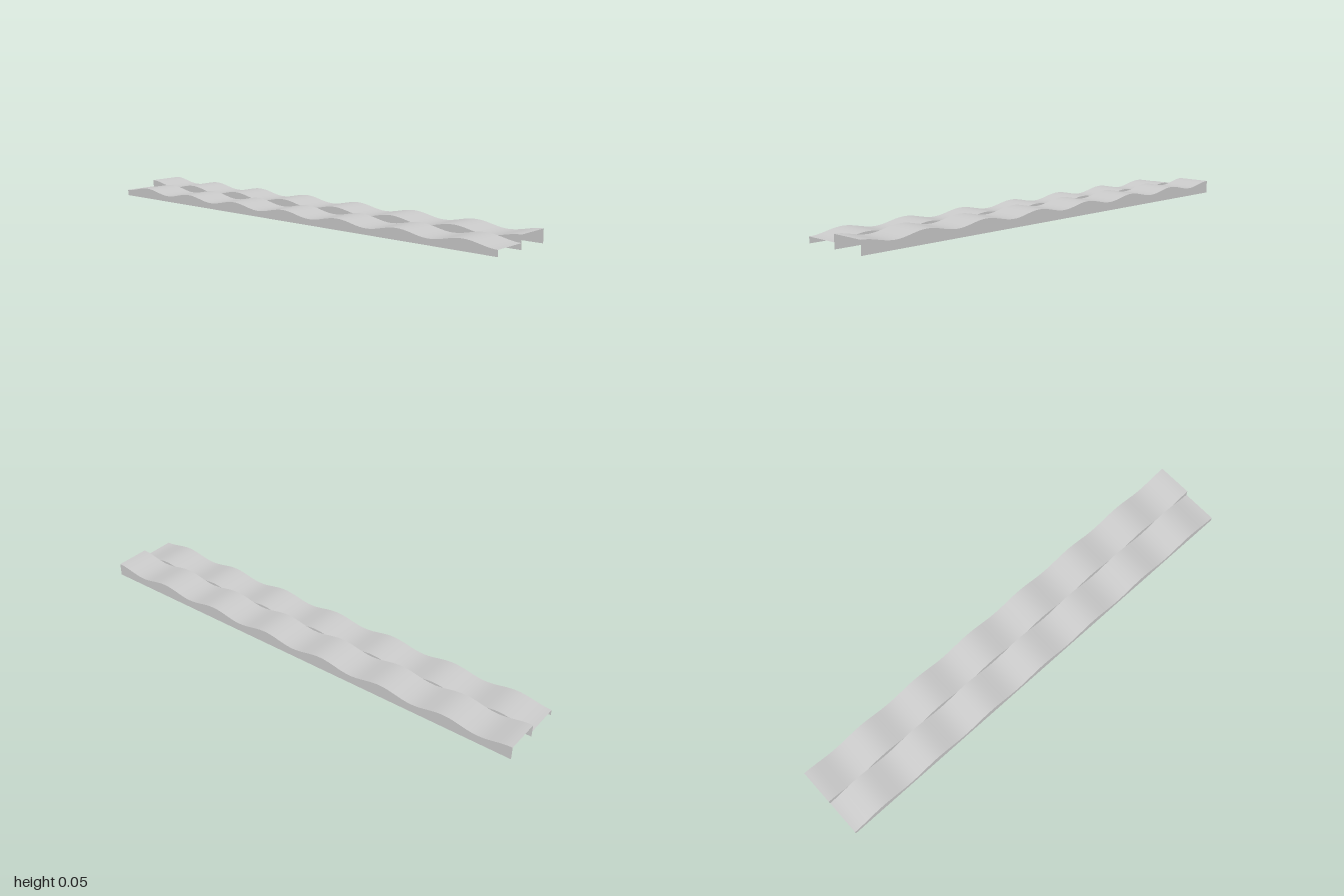
import * as THREE from 'three';

const LENGTH = 2, WIDTH = 0.153, SEGMENTS = 140, WAVES = 7, AMPLITUDE = 0.01;

const material = new THREE.MeshStandardMaterial({ color: 0xcccccc, side: THREE.DoubleSide });

// Sheet running along x; place(x, t) gives [y, z] with t from 0 to 1 across it
function sheet(name, place) {
  const geometry = new THREE.PlaneGeometry(LENGTH, 1, SEGMENTS, 1);
  const p = geometry.attributes.position;
  for (let i = 0; i < p.count; i++) {
    const x = p.getX(i);
    const [y, z] = place(x, p.getY(i) + 0.5);
    p.setXYZ(i, x, y, z);
  }
  geometry.computeVertexNormals();
  const mesh = new THREE.Mesh(geometry, material);
  mesh.name = name;
  return mesh;
}

// Open-ended channel: a wavy top with a flat-bottomed wall down each long edge
function channel(name, zBack, zFront, height) {
  const group = new THREE.Group();
  group.name = name;
  group.add(
    sheet('wavyTop', (x, t) => [height(x), zFront + (zBack - zFront) * t]),
    sheet('frontWall', (x, t) => [height(x) * t, zFront]),
    sheet('backWall', (x, t) => [height(x) * (1 - t), zBack])
  );
  return group;
}

export function createModel() {
  const model = new THREE.Group();
  model.name = 'wavyDoubleChannel';
  const wave = (x) => AMPLITUDE * Math.cos(WAVES * Math.PI * x);

  // The two channels undulate in opposite phase, the back one a little higher
  model.add(
    channel('frontChannel', 0, WIDTH, (x) => 0.035 + wave(x)),
    channel('backChannel', -WIDTH, 0, (x) => 0.045 - wave(x))
  );
  return model;
}
